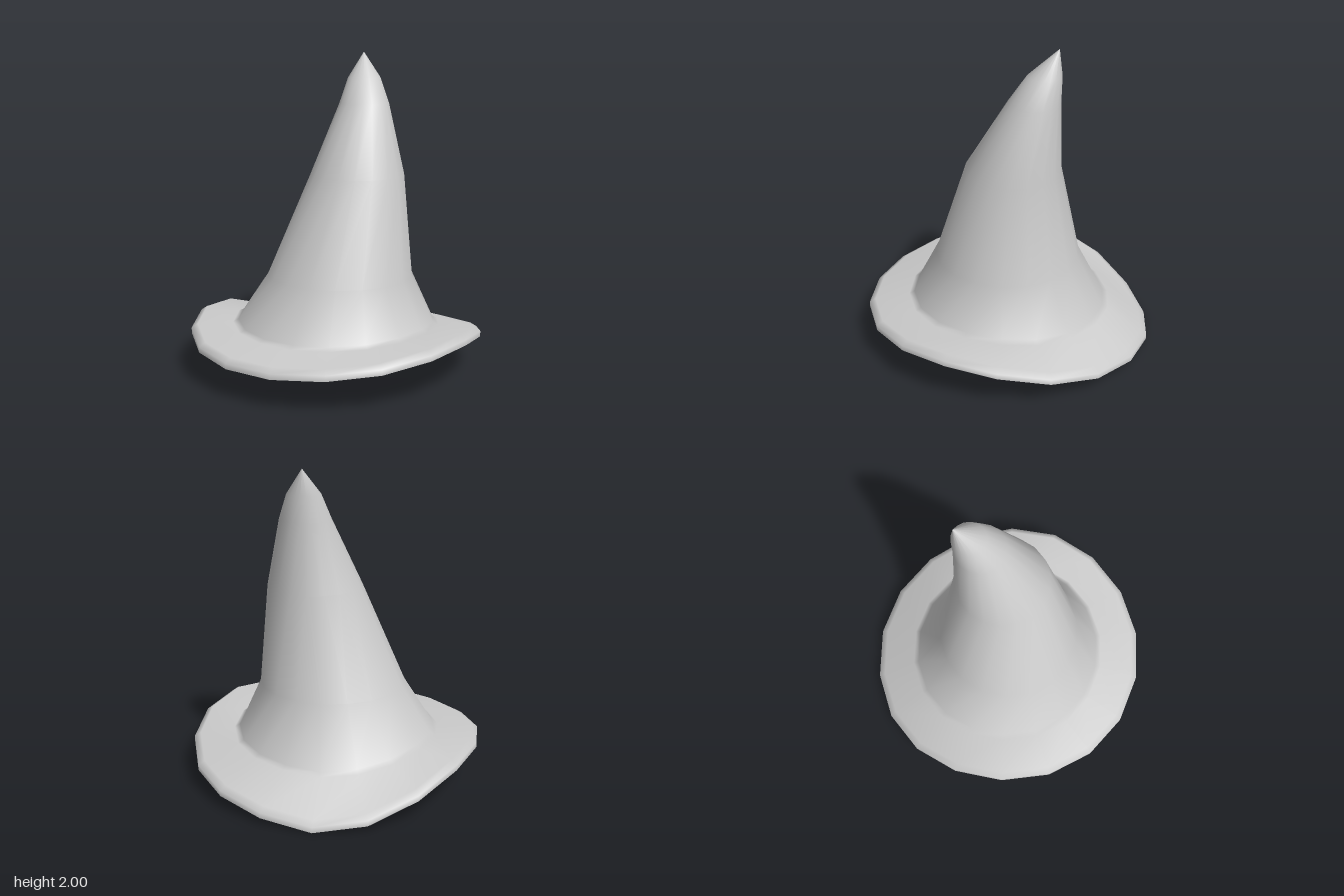
import * as THREE from 'three';

const SIDES = 18;
// Height of the brim's lower edge, every 20 degrees from +x towards +z
const EDGE = [0.28, 0.26, 0.225, 0.2, 0.185, 0.185, 0.2, 0.23, 0.26,
  0.235, 0.14, 0.04, 0, 0.04, 0.08, 0.12, 0.18, 0.245];
const MID = 0.18;

// A ring of points; height may depend on the side index
const ring = (r, height, cx = 0, cz = 0) => Array.from({ length: SIDES }, (_, i) => {
  const a = (i / SIDES) * Math.PI * 2;
  return [cx + r * Math.cos(a), height(i), cz + r * Math.sin(a)];
});

// Smooth skin over rings listed from bottom/outside to top/inside
function skin(rings) {
  const index = [];
  for (let j = 0; j < rings.length - 1; j++) {
    for (let i = 0; i < SIDES; i++) {
      const n = (i + 1) % SIDES;
      const a = j * SIDES + i, b = j * SIDES + n;
      index.push(a, a + SIDES, b, b, a + SIDES, b + SIDES);
    }
  }
  const geo = new THREE.BufferGeometry();
  geo.setAttribute('position', new THREE.Float32BufferAttribute(rings.flat(2), 3));
  geo.setIndex(index);
  geo.computeVertexNormals();
  return geo;
}

export function createModel() {
  const group = new THREE.Group();
  const material = new THREE.MeshStandardMaterial({ color: 0xcccccc, side: THREE.DoubleSide });
  const add = (name, geo) => {
    const mesh = new THREE.Mesh(geo, material);
    mesh.name = name;
    group.add(mesh);
  };

  // The brim's waviness fades towards the crown
  const inner = (i) => MID + 0.1 + (EDGE[i] - MID) * 0.3;

  // Brim edge and top, running on into the crooked crown
  const tip = ring(0.001, () => 2, 0, -0.32);
  add('brimAndCrown', skin([
    ring(0.93, (i) => EDGE[i]),
    ring(0.93, (i) => EDGE[i] + 0.035),
    ring(0.89, (i) => EDGE[i] + 0.06),
    ring(0.665, inner),
    ring(0.63, (i) => inner(i) + 0.018),
    ring(0.465, () => 0.605, 0.03, 0),
    ring(0.3, () => 1.24, 0.11, -0.075),
    ring(0.16, () => 1.68, 0.08, -0.2),
    ring(0.105, () => 1.84, 0.048, -0.25),
    tip,
  ]));

  // Closed underside, fanned from the centre to the wavy edge
  add('brimUnderside', skin([
    ring(0.001, () => MID),
    ring(0.93, (i) => EDGE[i]),
  ]));

  return group;
}
